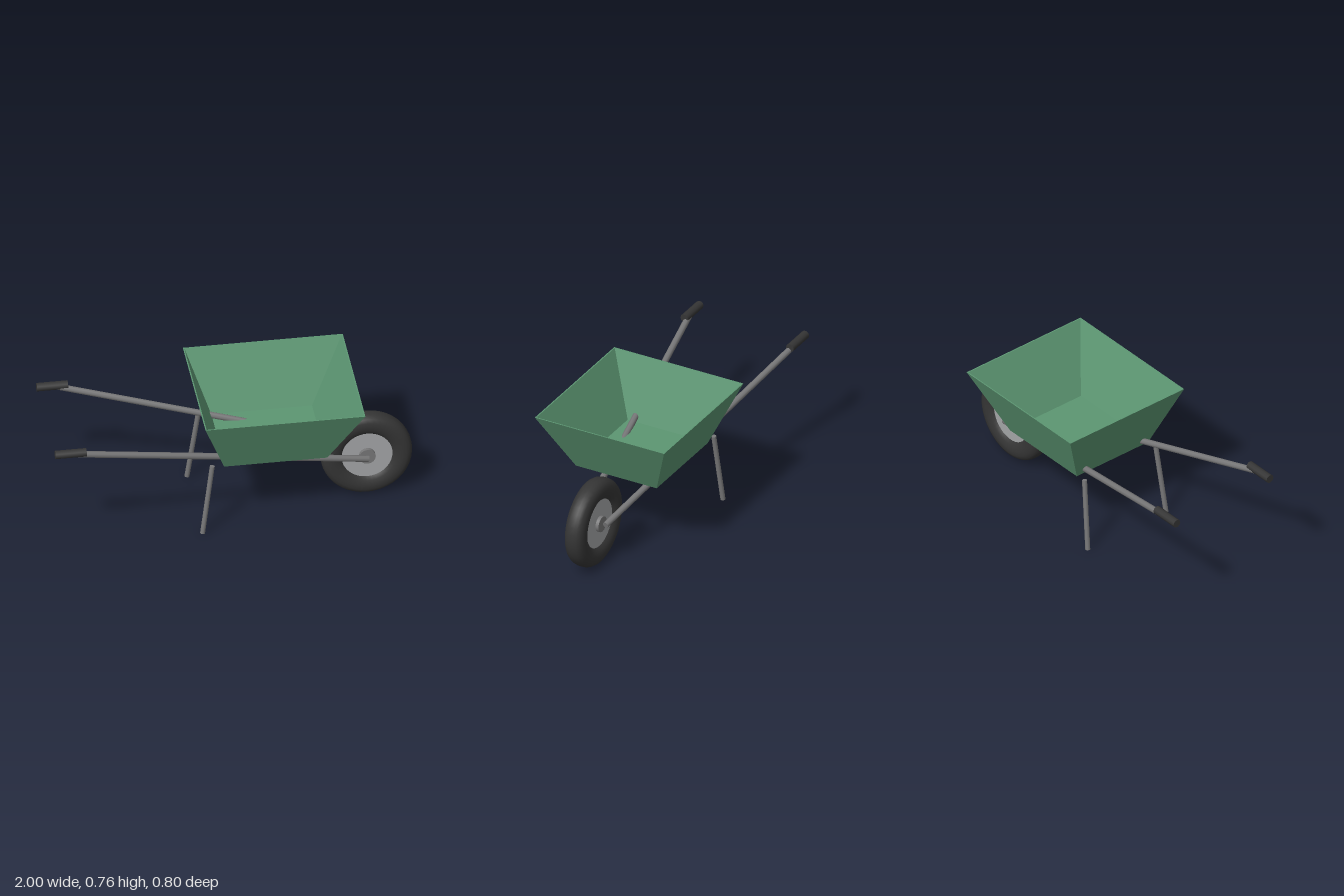
import * as THREE from 'three';

const material = (name, color) => {
  const m = new THREE.MeshStandardMaterial({ color });
  m.name = name;
  return m;
};

// Rectangular ring of corners, counter-clockwise seen from above
const ring = (x0, x1, z, y) => [[x0, y, z], [x1, y, z], [x1, y, -z], [x0, y, -z]];

// Thin tapered tray: outer wall, rim, inner wall and floor
function trayGeometry() {
  const rings = [
    ring(-0.065, 0.497, 0.25, 0.405),
    ring(-0.19, 0.683, 0.4, 0.755),
    ring(-0.183, 0.676, 0.393, 0.755),
    ring(-0.059, 0.491, 0.243, 0.413),
  ];
  const pos = [];
  const quad = (a, b, c, d) => [a, b, c, a, c, d].forEach((p) => pos.push(...p));
  for (let r = 0; r < 3; r++) {
    for (let i = 0; i < 4; i++) {
      const j = (i + 1) % 4;
      quad(rings[r][i], rings[r][j], rings[r + 1][j], rings[r + 1][i]);
    }
  }
  quad(...rings[3]);
  quad(...[...rings[0]].reverse());
  const g = new THREE.BufferGeometry();
  g.setAttribute('position', new THREE.Float32BufferAttribute(pos, 3));
  g.computeVertexNormals();
  return g;
}

// Straight bar between two points
function bar(name, a, b, radius, sides, mat) {
  const from = new THREE.Vector3(...a), to = new THREE.Vector3(...b);
  const dir = to.clone().sub(from);
  const mesh = new THREE.Mesh(new THREE.CylinderGeometry(radius, radius, dir.length(), sides), mat);
  mesh.position.copy(from).add(to).multiplyScalar(0.5);
  mesh.quaternion.setFromUnitVectors(new THREE.Vector3(0, 1, 0), dir.normalize());
  mesh.name = name;
  return mesh;
}

export function createModel() {
  const green = material('green paint', 0x5c9672);
  const rubber = material('black rubber', 0x353535);
  const steel = material('grey steel', 0x777778);
  const rimMetal = material('light metal', 0xa4a6a8);

  const model = new THREE.Group();
  model.name = 'wheelbarrow';

  const tray = new THREE.Mesh(trayGeometry(), green);
  tray.name = 'tray';
  model.add(tray);

  // Handles, grips and legs on both sides
  for (const s of [1, -1]) {
    const side = s > 0 ? 'Front' : 'Back';
    model.add(
      bar('handleBar' + side, [0.75, 0.253, 0.075 * s], [-0.9, 0.628, 0.328 * s], 0.018, 8, steel),
      bar('grip' + side, [-0.83, 0.632, 0.327 * s], [-1, 0.632, 0.327 * s], 0.024, 10, rubber),
      bar('leg' + side, [-0.13, 0.415, 0.25 * s], [-0.187, 0.001, 0.275 * s], 0.014, 8, steel),
    );
  }

  // Wheel with rounded tyre, metal disc and hub
  const wheel = new THREE.Group();
  wheel.name = 'wheel';
  wheel.position.set(0.748, 0.252, 0);
  const half = [[0.125, 0.022], [0.139, 0.037], [0.16, 0.052], [0.19, 0.057],
    [0.215, 0.055], [0.235, 0.045], [0.246, 0.029], [0.25, 0.012]];
  const profile = [
    ...half.map(([r, w]) => new THREE.Vector2(r, -w)),
    ...[...half].reverse().map(([r, w]) => new THREE.Vector2(r, w)),
  ];
  const tyre = new THREE.Mesh(new THREE.LatheGeometry(profile, 40).rotateX(Math.PI / 2), rubber);
  tyre.name = 'tyre';
  wheel.add(
    tyre,
    bar('rimDisc', [0, 0, -0.037], [0, 0, 0.037], 0.142, 32, rimMetal),
    bar('hub', [0, 0, -0.056], [0, 0, 0.056], 0.045, 16, steel),
  );
  model.add(wheel);
  return model;
}
